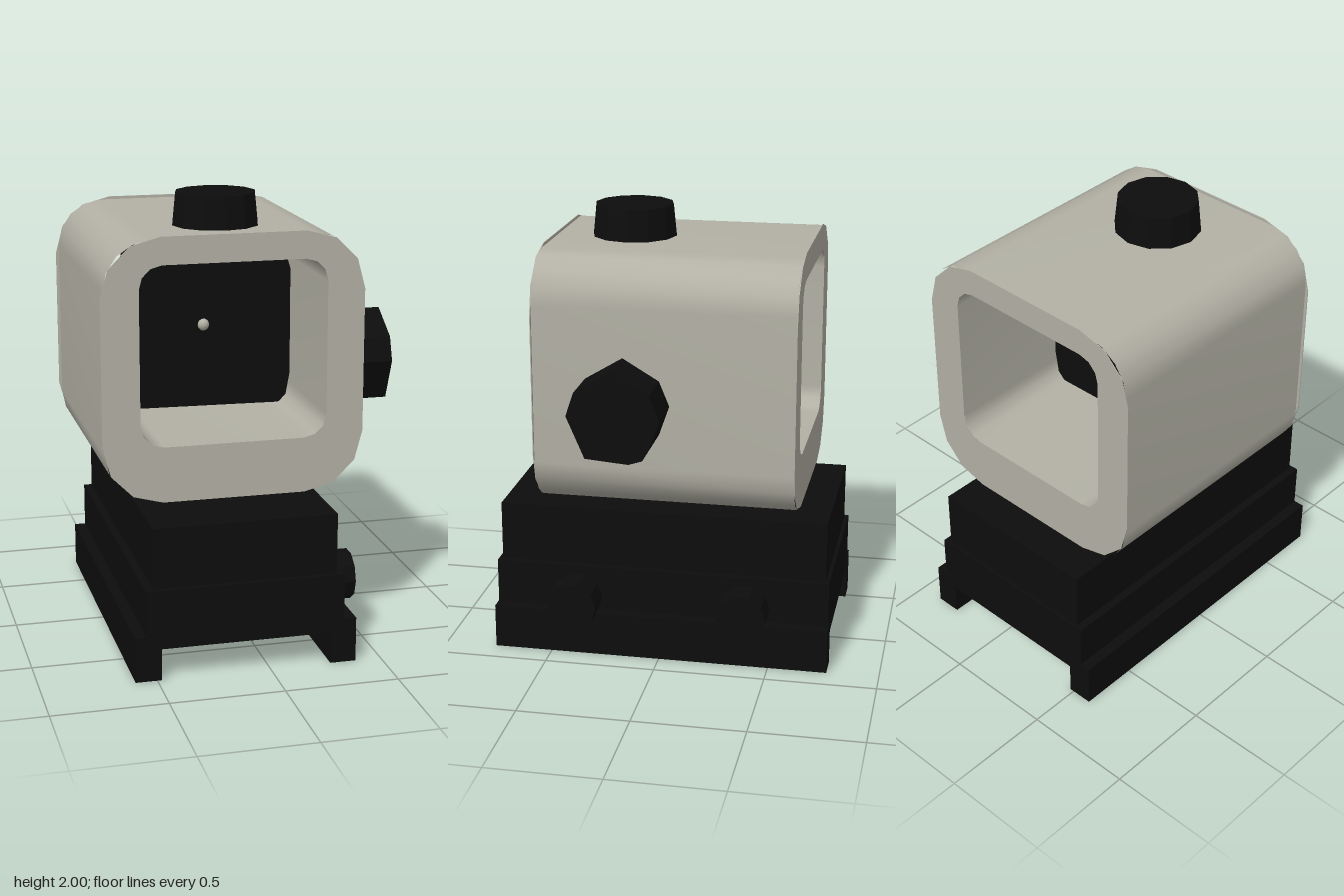
import * as THREE from 'three';

const shell = new THREE.MeshStandardMaterial({ color: 0xb3b1a5 });
shell.name = 'warm grey shell';
const black = new THREE.MeshStandardMaterial({ color: 0x0d0d0d });
black.name = 'black';

const CX = -0.105; // sight axis, offset from the centre
const FRONT = 0.54, BACK = -0.61;

// Counter-clockwise rounded rectangle as a list of points
function roundedRect(x0, x1, y0, y1, r, steps) {
  const corners = [[x1 - r, y0 + r, -90], [x1 - r, y1 - r, 0], [x0 + r, y1 - r, 90], [x0 + r, y0 + r, 180]];
  const pts = [];
  for (const [cx, cy, a0] of corners) {
    for (let i = 0; i <= steps; i++) {
      const a = (a0 + (90 * i) / steps) * Math.PI / 180;
      pts.push(new THREE.Vector2(cx + r * Math.cos(a), cy + r * Math.sin(a)));
    }
  }
  return pts;
}

// Smooth open wall running along z; inward flips the facing
function wall(pts, z0, z1, inward) {
  const pos = [], idx = [], n = pts.length;
  for (const p of pts) pos.push(p.x, p.y, z0, p.x, p.y, z1);
  for (let i = 0; i < n; i++) {
    const a = 2 * i, b = 2 * ((i + 1) % n);
    if (inward) idx.push(a, b + 1, b, a, a + 1, b + 1);
    else idx.push(a, b, b + 1, a, b + 1, a + 1);
  }
  const g = new THREE.BufferGeometry();
  g.setAttribute('position', new THREE.Float32BufferAttribute(pos, 3));
  g.setIndex(idx);
  g.computeVertexNormals();
  return g;
}

export function createModel() {
  const model = new THREE.Group();
  model.name = 'opticalSight';

  const add = (name, geometry, material, x = 0, y = 0, z = 0) => {
    const m = new THREE.Mesh(geometry, material);
    m.name = name;
    m.position.set(x, y, z);
    model.add(m);
    return m;
  };
  const box = (name, x0, x1, y0, y1, z) =>
    add(name, new THREE.BoxGeometry(x1 - x0, y1 - y0, 2 * z), black, (x0 + x1) / 2, (y0 + y1) / 2, 0);

  // Rail mount: stepped base, riser and two side rails
  box('riser', -0.51, 0.30, 0.40, 0.675, 0.745);
  box('baseBlock', -0.545, 0.33, 0.14, 0.405, 0.762);
  box('rightRail', -0.595, -0.48, 0, 0.2, 0.765);
  box('leftRail', 0.27, 0.385, 0, 0.2, 0.765);

  // Clamp screws on the left side
  for (const z of [0.385, -0.385]) {
    const g = new THREE.CylinderGeometry(0.113, 0.113, 0.15, 10).toNonIndexed();
    g.computeVertexNormals();
    add('clampScrew', g, black, 0.395, 0.26, z).rotation.z = -Math.PI / 2;
  }

  // Hood: outer skin, inner tunnel and end rims
  const opening = roundedRect(-0.515, 0.305, 0.965, 1.75, 0.1, 3);
  add('hoodSkin', wall(roundedRect(-0.667, 0.457, 0.73, 1.857, 0.21, 4), BACK, FRONT, false), shell);
  add('hoodTunnel', wall(opening, BACK, FRONT, true), shell);
  const rim = new THREE.Shape(roundedRect(-0.68, 0.47, 0.72, 1.87, 0.26, 3));
  rim.holes.push(new THREE.Path(opening));
  const rimGeometry = new THREE.ExtrudeGeometry(rim, { depth: 0.004, bevelEnabled: false });
  add('frontRim', rimGeometry, shell, 0, 0, FRONT);
  add('backRim', rimGeometry, shell, 0, 0, BACK - 0.004);

  // Dark lens pane halfway down the tunnel, with its aiming dot
  const pane = new THREE.Shape([
    [-0.46, 0.985], [0.25, 0.975], [0.285, 1.01], [0.303, 1.11], [0.303, 1.60],
    [0.27, 1.71], [0.235, 1.725], [-0.44, 1.738], [-0.48, 1.71], [-0.513, 1.11], [-0.497, 1.02],
  ].map(([x, y]) => new THREE.Vector2(x, y)));
  add('lens', new THREE.ExtrudeGeometry(pane, { depth: 0.008, bevelEnabled: false }), black, 0, 0, -0.034);
  add('aimingDot', new THREE.SphereGeometry(0.028, 10, 8), shell, CX, 1.36, -0.03);

  // Top adjustment knob
  const topKnob = new THREE.CylinderGeometry(0.177, 0.192, 0.15, 12).toNonIndexed();
  topKnob.computeVertexNormals();
  add('topKnob', topKnob, black, CX, 1.925, 0.2);

  // Side adjustment knob, an uneven polygon given as (z, y) and pushed out along x
  const knob = new THREE.Shape([
    [0.14, 1.435], [0.305, 1.335], [0.34, 1.23], [0.26, 1.045], [0.07, 1.03],
    [0.01, 1.05], [-0.02, 1.10], [-0.065, 1.23], [-0.02, 1.34],
  ].map(([z, y]) => new THREE.Vector2(-z, y)));
  const sideKnob = new THREE.ExtrudeGeometry(knob, { depth: 0.22, bevelEnabled: false });
  add('sideKnob', sideKnob, black, 0.452, 0, 0).rotation.y = Math.PI / 2;

  return model;
}
